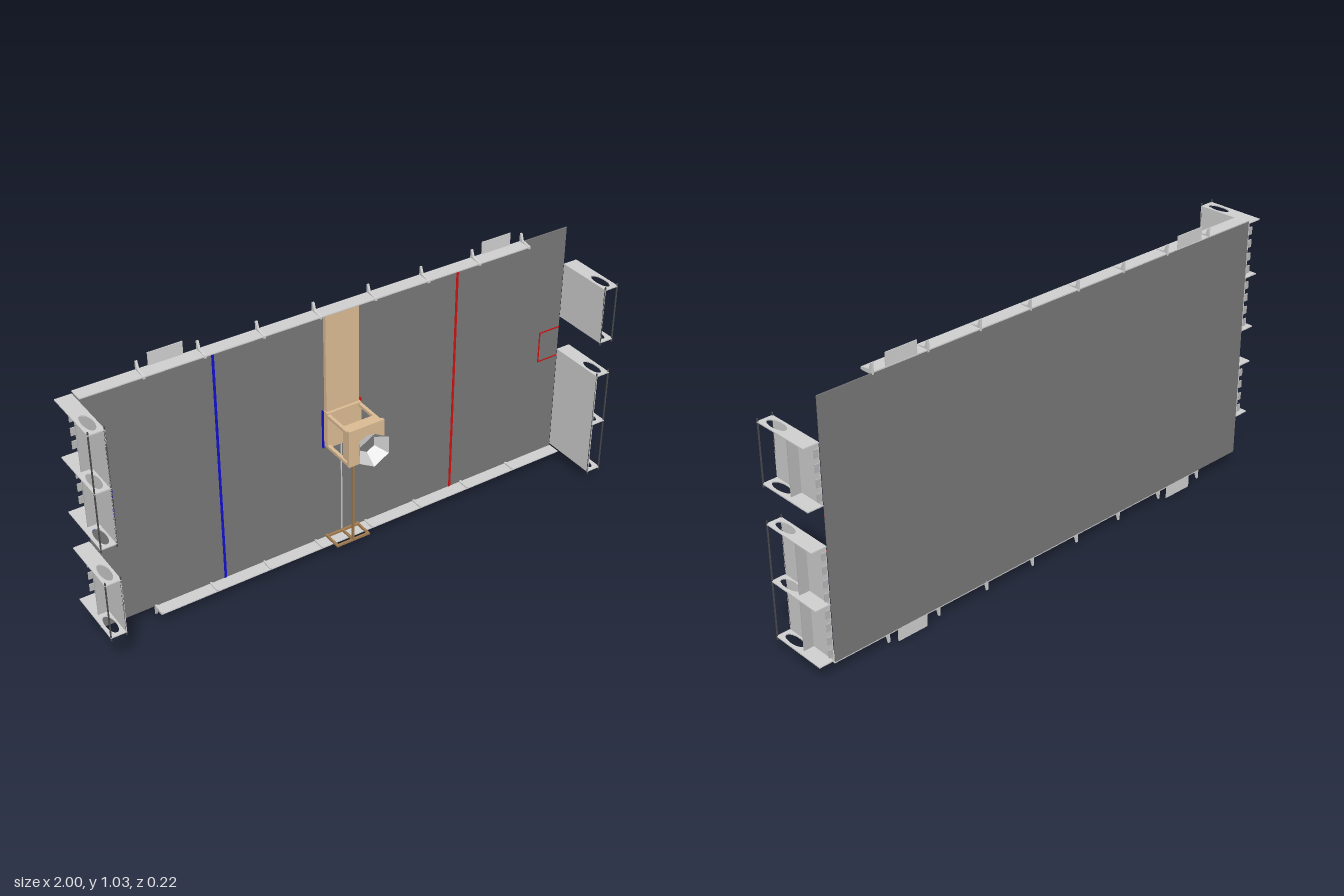
import * as THREE from 'three';

const mat = (name, color, side = THREE.FrontSide) => {
  const m = new THREE.MeshStandardMaterial({ color, side });
  m.name = name;
  return m;
};

export function createModel() {
  const carpet = mat('carpetGrey', 0x787878);
  const light = mat('lightGrey', 0xd0d0d0, THREE.DoubleSide);
  const panel = mat('panelGrey', 0xb8b8b8);
  const tan = mat('tan', 0xdcbc94, THREE.DoubleSide);
  const brown = mat('brown', 0xa37c50);
  const red = mat('red', 0xd01010);
  const blue = mat('blue', 0x1010d0);
  const dark = mat('darkGrey', 0x4c4c4c);

  const MID = 0.514; // height of the centre of the field
  const root = new THREE.Group();
  root.name = 'field';

  // Box given by its minimum and maximum corners
  const box = (parent, name, m, x0, x1, y0, y1, z0, z1) => {
    const mesh = new THREE.Mesh(new THREE.BoxGeometry(x1 - x0, y1 - y0, z1 - z0), m);
    mesh.position.set((x0 + x1) / 2, (y0 + y1) / 2, (z0 + z1) / 2);
    mesh.name = name;
    parent.add(mesh);
    return mesh;
  };

  // Floor sheet
  box(root, 'floor', carpet, -0.94, 0.94, 0.05, 0.978, -0.112, -0.108);

  // Zone lines and the bracket marked at each end
  for (const [s, m] of [[-1, blue], [1, red]]) {
    const stripe = (name, xa, xb, y0, y1) =>
      box(root, name, m, Math.min(s * xa, s * xb), Math.max(s * xa, s * xb), y0, y1, -0.108, -0.1065);
    stripe('zoneLine', 0.466, 0.475, 0.05, 0.978);
    stripe('bracketSide', 0.85, 0.855, 0.453, 0.578);
    stripe('bracketTop', 0.85, 0.94, 0.573, 0.578);
    stripe('bracketBottom', 0.85, 0.94, 0.453, 0.458);
  }

  // Shelf with an oval hole; shape drawn in x and -z
  const shelfShape = new THREE.Shape();
  shelfShape.moveTo(0.943, -0.112);
  shelfShape.lineTo(1, -0.112);
  shelfShape.lineTo(1, 0.112);
  shelfShape.lineTo(0.943, 0.112);
  shelfShape.closePath();
  const hole = new THREE.Path();
  hole.absellipse(0.971, -0.053, 0.018, 0.045, 0, Math.PI * 2, true);
  shelfShape.holes.push(hole);
  const shelfGeo = new THREE.ExtrudeGeometry(shelfShape, { depth: 0.004, bevelEnabled: false, curveSegments: 16 });
  shelfGeo.rotateX(-Math.PI / 2);

  // Rail bracket profile in z and y, hanging below the rail
  const ribShape = new THREE.Shape();
  [[-0.06, 0.055], [-0.06, 0.046], [-0.098, 0.04], [-0.107, 0.016], [-0.112, 0.016], [-0.112, 0.055]]
    .forEach(([z, y], i) => (i ? ribShape.lineTo(-z, y) : ribShape.moveTo(-z, y)));
  const ribGeo = new THREE.ExtrudeGeometry(ribShape, { depth: 0.008, bevelEnabled: false });
  ribGeo.rotateY(Math.PI / 2);

  // Half of the border: one end wall and one long rail
  const makeHalf = (name) => {
    const g = new THREE.Group();
    g.name = name;
    for (const levels of [[0.058, 0.267, 0.475], [0.617, 0.828]]) {
      const lo = levels[0], hi = levels[levels.length - 1];
      for (const y of levels) {
        const shelf = new THREE.Mesh(shelfGeo, light);
        shelf.position.y = y - 0.002;
        shelf.name = 'shelf';
        g.add(shelf);
      }
      box(g, 'endWall', light, 0.943, 0.947, lo, hi, -0.11, 0.112);
      box(g, 'wallFin', panel, 0.947, 0.984, lo, hi, -0.012, -0.008);
      box(g, 'outerPost', dark, 0.996, 1, lo - 0.012, hi + 0.012, 0.108, 0.112);
      box(g, 'innerPost', dark, 0.943, 0.947, lo - 0.012, hi + 0.012, 0.108, 0.112);
      // Small joint tabs on each bay
      for (let i = 0; i + 1 < levels.length; i++) {
        for (const t of [0.15, 0.38, 0.62, 0.85]) {
          const y = levels[i] + t * (levels[i + 1] - levels[i]);
          box(g, 'tab', panel, 0.947, 0.962, y - 0.014, y + 0.014, -0.112, -0.108);
        }
      }
    }
    // Long rail with brackets
    box(g, 'rail', light, -0.735, 0.943, 0.046, 0.05, -0.112, -0.06);
    for (let i = 0; i < 8; i++) {
      const rib = new THREE.Mesh(ribGeo, light);
      rib.position.x = -0.738 + i * 0.2095 - 0.004;
      rib.name = 'railBracket';
      g.add(rib);
    }
    for (const x of [-0.63, 0.63]) {
      box(g, 'edgePlate', light, x - 0.06, x + 0.06, 0, 0.05, -0.111, -0.108);
    }
    return g;
  };
  root.add(makeHalf('lowerHalf'));
  const upper = makeHalf('upperHalf');
  upper.rotation.z = Math.PI;
  upper.position.y = 2 * MID;
  root.add(upper);

  // Ramp strip above the tower
  box(root, 'rampStrip', tan, -0.065, 0.065, 0.585, 0.976, -0.108, -0.094);

  // Tower frame standing out from the floor
  const tower = new THREE.Group();
  tower.name = 'tower';
  root.add(tower);
  box(tower, 'towerBack', tan, -0.068, 0.068, 0.445, 0.585, -0.108, -0.084);
  for (const s of [-1, 1]) {
    const x = s * 0.063;
    box(tower, 'topBeam', tan, x - 0.006, x + 0.006, 0.569, 0.58, -0.084, 0.038);
    box(tower, 'bottomBeam', tan, x - 0.006, x + 0.006, 0.445, 0.456, -0.084, 0.038);
    box(tower, 'blockSide', tan, s * 0.05 - 0.012, s * 0.05 + 0.012, 0.456, 0.569, 0.002, 0.03);
  }
  box(tower, 'topCrossbar', tan, -0.057, 0.057, 0.569, 0.58, 0.0, 0.038);
  box(tower, 'innerBlock', dark, -0.038, 0.038, 0.49, 0.53, 0.002, 0.038);
  box(tower, 'frontPlate', tan, -0.07, 0.07, 0.445, 0.588, 0.038, 0.05);
  box(tower, 'redSide', red, 0.07, 0.077, 0.44, 0.59, -0.106, -0.098);
  box(tower, 'blueSide', blue, -0.077, -0.073, 0.44, 0.59, -0.106, -0.098);

  // Six-sided funnel, wide at the front
  const funnel = new THREE.Mesh(new THREE.CylinderGeometry(0.066, 0.033, 0.046, 6, 1, true), light);
  funnel.geometry = funnel.geometry.toNonIndexed();
  funnel.geometry.computeVertexNormals();
  funnel.rotation.x = Math.PI / 2;
  funnel.position.set(0, 0.517, 0.073);
  funnel.name = 'funnel';
  tower.add(funnel);
  const throat = new THREE.Mesh(new THREE.CircleGeometry(0.033, 6, Math.PI / 2), carpet);
  throat.position.set(0, 0.517, 0.051);
  throat.name = 'funnelThroat';
  tower.add(throat);

  // Slim stand below the tower and its foot
  box(root, 'standPost', brown, -0.003, 0.003, 0.056, 0.445, -0.04, -0.03);
  box(root, 'standCable', light, -0.002, 0.002, 0.056, 0.445, -0.107, -0.104);
  for (const x of [-0.064, 0, 0.064]) {
    box(root, 'footRunner', brown, x - 0.004, x + 0.004, 0.052, 0.06, -0.108, -0.03);
  }
  for (const z of [-0.1, -0.034]) {
    box(root, 'footCrossbar', brown, -0.068, 0.068, 0.052, 0.06, z - 0.004, z + 0.004);
  }
  return root;
}
